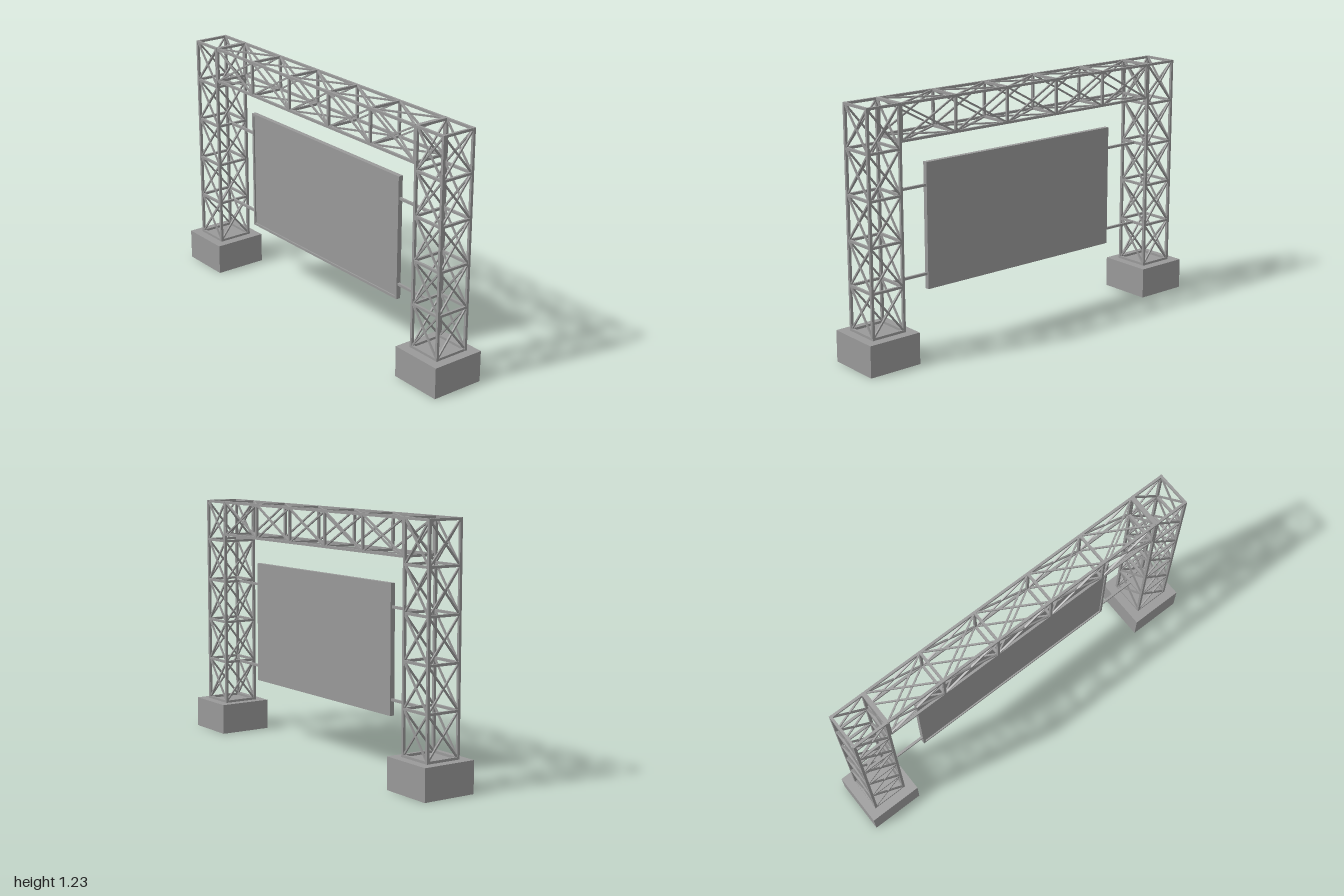
import * as THREE from 'three';

const steel = new THREE.MeshStandardMaterial({ color: 0x999999 });
steel.name = 'steel grey';

const POST = 0.013, BAR = 0.012, BRACE = 0.008;
const TOWER_X = 0.8625, HALF = 0.086;
const LEVELS = [0.161, 0.375, 0.59, 0.805, 1.02, 1.224];
const BEAM_LOW = 1.055, BEAM_TOP = 1.224, BEAM_END = 0.767, BAYS = 5;

function box(parent, name, w, h, d, x, y, z) {
  const mesh = new THREE.Mesh(new THREE.BoxGeometry(w, h, d), steel);
  mesh.name = name;
  mesh.position.set(x, y, z);
  parent.add(mesh);
  return mesh;
}

// square bar running between two points
function strut(parent, name, a, b, size) {
  const p = new THREE.Vector3(...a), q = new THREE.Vector3(...b);
  const mid = p.clone().add(q).multiplyScalar(0.5);
  const mesh = box(parent, name, size, size, p.distanceTo(q), mid.x, mid.y, mid.z);
  mesh.lookAt(q);
}

// crossed pair of braces over a quad given in order round its edge
function cross(parent, a, b, c, d) {
  strut(parent, 'brace', a, c, BRACE);
  strut(parent, 'brace', b, d, BRACE);
}

function createTower(name, cx) {
  const tower = new THREE.Group();
  tower.name = name;
  const corners = [[-1, -1], [1, -1], [1, 1], [-1, 1]].map(([x, z]) => [cx + x * HALF, z * HALF]);
  const bottom = 0.15, top = 1.23;
  corners.forEach(([x, z], i) => {
    box(tower, 'post', POST, top - bottom, POST, x, (top + bottom) / 2, z);
    const [nx, nz] = corners[(i + 1) % 4];
    LEVELS.forEach((y, k) => {
      strut(tower, 'ringBar', [x, y, z], [nx, y, nz], BAR);
      if (k === 0) return;
      const low = LEVELS[k - 1];
      cross(tower, [x, low, z], [nx, low, nz], [nx, y, nz], [x, y, z]);
    });
  });
  return tower;
}

function createBeam() {
  const beam = new THREE.Group();
  beam.name = 'crossBeam';
  // four long chords
  for (const y of [BEAM_LOW, BEAM_TOP])
    for (const z of [-HALF, HALF]) box(beam, 'chord', BEAM_END * 2, BAR, BAR, 0, y, z);
  const bay = (BEAM_END * 2) / BAYS;
  for (let i = 0; i <= BAYS; i++) {
    const x = -BEAM_END + i * bay, n = x + bay;
    for (const z of [-HALF, HALF]) {
      strut(beam, 'upright', [x, BEAM_LOW, z], [x, BEAM_TOP, z], BAR);
      if (i < BAYS) cross(beam, [x, BEAM_LOW, z], [n, BEAM_LOW, z], [n, BEAM_TOP, z], [x, BEAM_TOP, z]);
    }
    for (const y of [BEAM_LOW, BEAM_TOP]) {
      strut(beam, 'crossBar', [x, y, -HALF], [x, y, HALF], BAR);
      if (i < BAYS) cross(beam, [x, y, -HALF], [n, y, -HALF], [n, y, HALF], [x, y, HALF]);
    }
  }
  return beam;
}

function createScreen() {
  const screen = new THREE.Group();
  screen.name = 'screen';
  const w = 1.154, h = 0.615, cy = 0.6075, rim = 0.012;
  box(screen, 'panel', w - rim, h - rim, 0.017, 0, cy, -0.0035);
  // raised rim round the front
  for (const s of [-1, 1]) {
    box(screen, 'sideRim', rim, h, 0.024, s * (w - rim) / 2, cy, 0);
    box(screen, 'edgeRim', w - 2 * rim, rim, 0.024, 0, cy + s * (h - rim) / 2, 0);
    // arms to the towers
    for (const y of [LEVELS[1], LEVELS[3]])
      box(screen, 'supportArm', 0.21, BAR, BAR, s * 0.67, y, 0);
  }
  return screen;
}

export function createModel() {
  const model = new THREE.Group();
  model.name = 'trussGantry';
  for (const [side, s] of [['left', 1], ['right', -1]]) {
    box(model, side + 'Base', 0.275, 0.155, 0.276, s * TOWER_X, 0.0775, 0);
    model.add(createTower(side + 'Tower', s * TOWER_X));
  }
  model.add(createBeam(), createScreen());
  return model;
}
